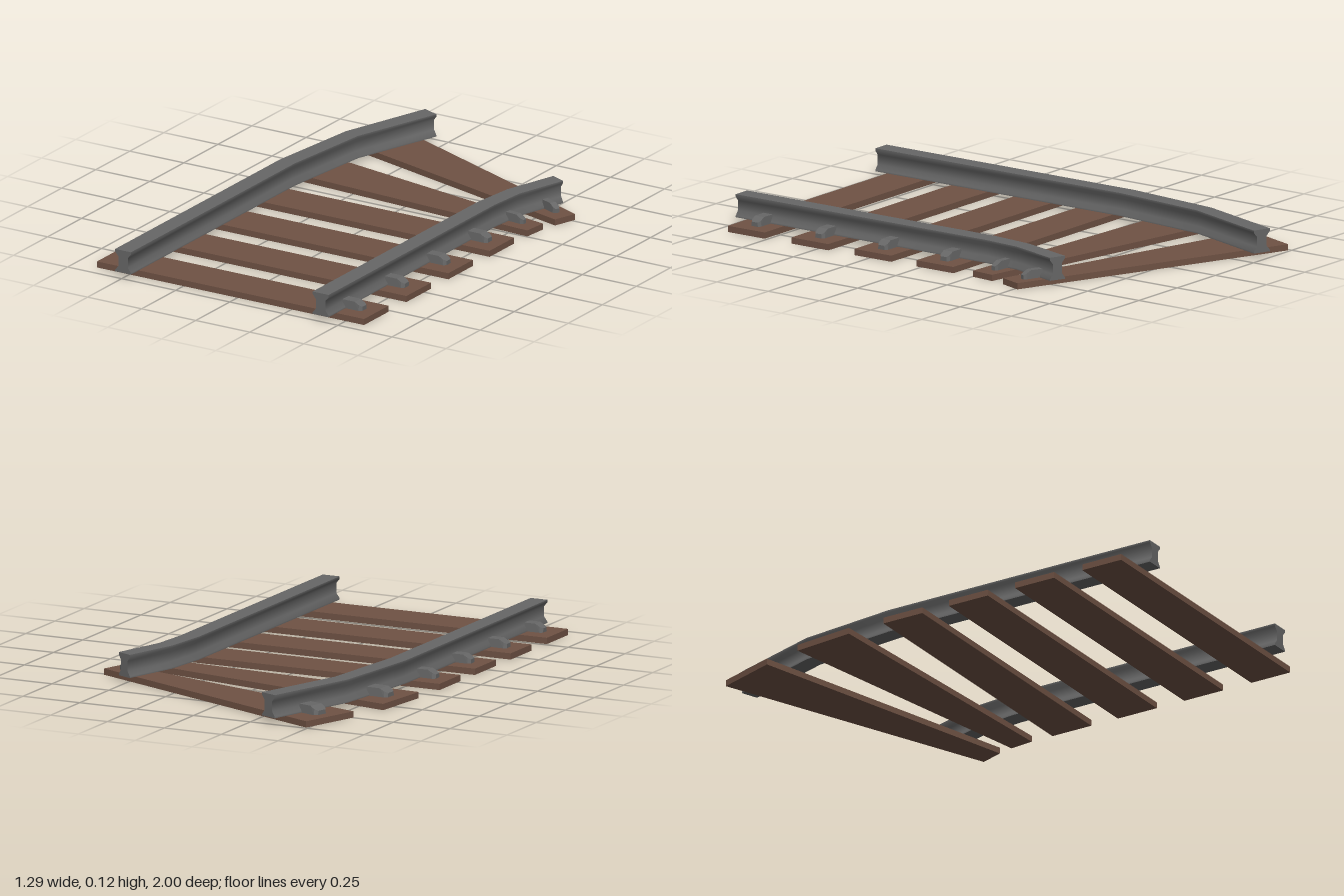
import * as THREE from 'three';
import { toCreasedNormals } from 'three/addons/utils/BufferGeometryUtils.js';
import { ConvexGeometry } from 'three/addons/geometries/ConvexGeometry.js';

const wood = new THREE.MeshStandardMaterial({ color: 0x6f5244, flatShading: true });
const steel = new THREE.MeshStandardMaterial({ color: 0x666666 });
const steelFlat = new THREE.MeshStandardMaterial({ color: 0x666666, flatShading: true });

const TIE_TOP = 0.025;

// Waisted rail section: [half width factor, height], mirrored about its centre
const railSide = [[1, TIE_TOP], [1, 0.031], [0.6, 0.05], [0.6, 0.09], [1, 0.108], [1, 0.118]];

// Rail swept through stations [left x, left z, right x, right z], back to front
function makeRail(name, stations) {
  const outline = [...railSide, ...railSide.map(([u, y]) => [-u, y]).reverse()];
  const shape = new THREE.Shape(outline.map(([u, y]) => new THREE.Vector2(u, y)));
  const steps = stations.length - 1;
  const geo = new THREE.ExtrudeGeometry(shape, { depth: steps, steps, bevelEnabled: false });
  const pos = geo.attributes.position;
  for (let i = 0; i < pos.count; i++) {
    const [lx, lz, rx, rz] = stations[Math.round(pos.getZ(i))];
    const t = (pos.getX(i) + 1) / 2;
    pos.setXYZ(i, lx + (rx - lx) * t, pos.getY(i), lz + (rz - lz) * t);
  }
  const mesh = new THREE.Mesh(toCreasedNormals(geo, 0.8), steel);
  mesh.name = name;
  return mesh;
}

// Flat plank from its four plan corners [x, z]
function makeTie(corners) {
  const shape = new THREE.Shape(corners.map(([x, z]) => new THREE.Vector2(x, -z)));
  const geo = new THREE.ExtrudeGeometry(shape, { depth: TIE_TOP, bevelEnabled: false });
  geo.rotateX(-Math.PI / 2);
  const mesh = new THREE.Mesh(geo, wood);
  mesh.name = 'tie';
  return mesh;
}

// Clip with a sloped, tapered nose, running from the rail out to its tip
function makeClip([tipX, tipZ], [railX, railZ], width) {
  const length = Math.hypot(railX - tipX, railZ - tipZ);
  const points = [];
  // sections: distance from tip, height, width factor
  for (const [d, y, w] of [[0, 0.042, 0.65], [0.012, 0.048, 1], [0.032, 0.059, 1], [length, 0.059, 1]]) {
    for (const s of [-1, 1]) {
      points.push(new THREE.Vector3(d, TIE_TOP, s * w * width / 2));
      points.push(new THREE.Vector3(d, y, s * w * width * 0.45));
    }
  }
  const mesh = new THREE.Mesh(new ConvexGeometry(points), steelFlat);
  mesh.position.set(tipX, 0, tipZ);
  mesh.rotation.y = -Math.atan2(railZ - tipZ, railX - tipX);
  mesh.name = 'railClip';
  return mesh;
}

export function createModel() {
  const track = new THREE.Group();
  track.name = 'curvedTrack';

  // Rails
  track.add(makeRail('rightRail', [
    [-0.357, -1.0, -0.288, -0.973], [-0.484, -0.62, -0.415, -0.6],
    [-0.53, -0.21, -0.457, -0.2], [-0.53, 1, -0.457, 1]]));
  track.add(makeRail('leftRail', [
    [0.475, -0.62, 0.537, -0.593], [0.404, -0.395, 0.471, -0.38],
    [0.383, -0.21, 0.457, -0.22], [0.383, 1, 0.457, 1]]));

  // Straight ties with a clip outside each rail
  for (const z of [0.853, 0.542, 0.235, -0.068]) {
    track.add(makeTie([[-0.65, z + 0.09], [0.585, z + 0.09], [0.585, z - 0.09], [-0.65, z - 0.09]]));
    track.add(makeClip([-0.595, z], [-0.5, z], 0.048));
    track.add(makeClip([0.53, z], [0.43, z], 0.048));
  }

  // Fanned ties of the bend
  track.add(makeTie([[-0.643, -0.323], [0.585, -0.254], [0.595, -0.354], [-0.617, -0.577]]));
  track.add(makeClip([-0.582, -0.442], [-0.485, -0.435], 0.068));
  track.add(makeClip([0.535, -0.315], [0.435, -0.325], 0.028));

  track.add(makeTie([[-0.574, -0.746], [0.61, -0.418], [0.643, -0.513], [-0.49, -0.99]]));
  track.add(makeClip([-0.488, -0.85], [-0.385, -0.82], 0.068));
  track.add(makeClip([0.578, -0.488], [0.475, -0.53], 0.03));

  return track;
}
